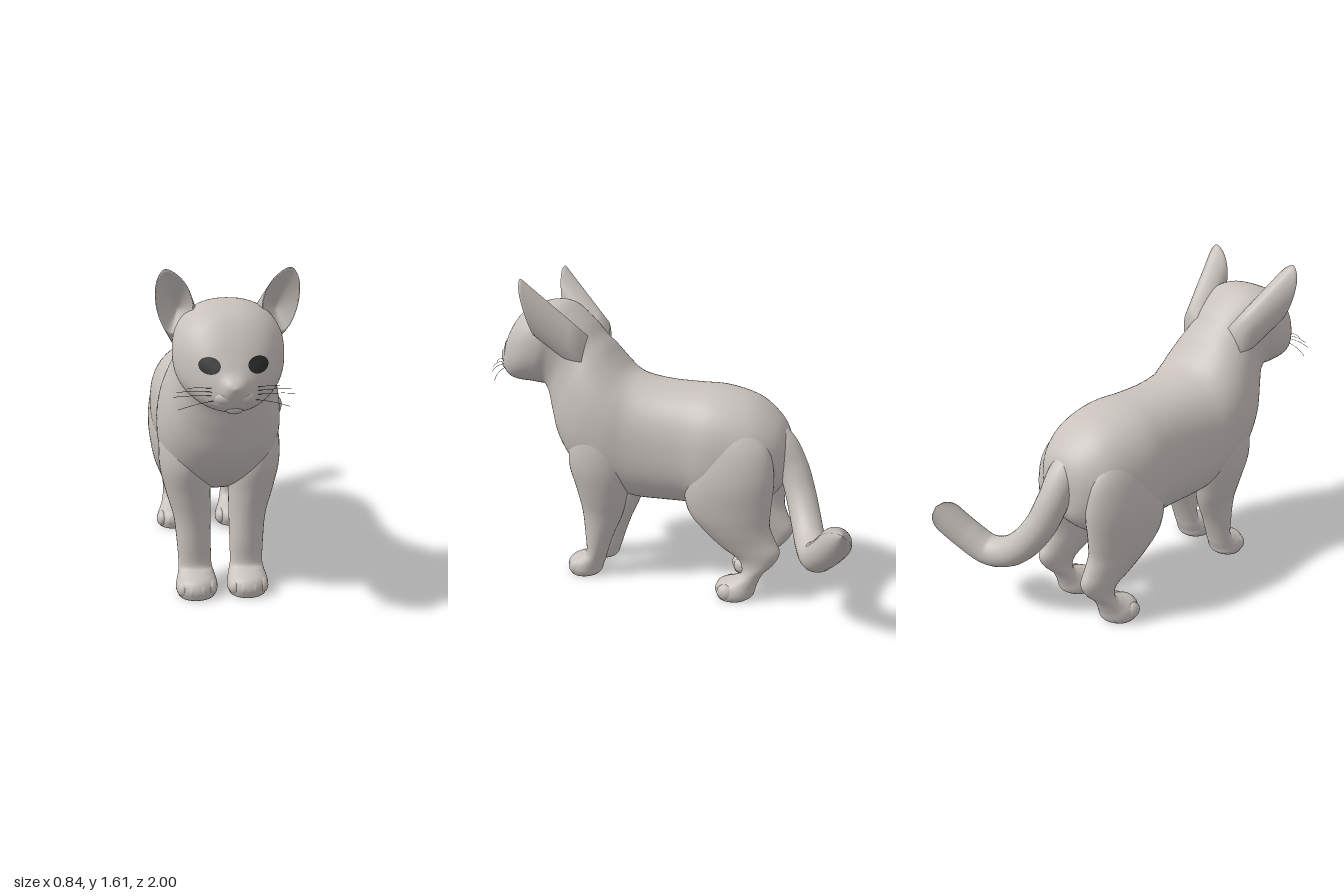
import * as THREE from 'three';

const fur = new THREE.MeshStandardMaterial({ name: 'fur', color: 0xc8c1bc });
const eyeDark = new THREE.MeshStandardMaterial({ name: 'eyeDark', color: 0x2c2c2c });
const whiskerGrey = new THREE.MeshStandardMaterial({ name: 'whiskerGrey', color: 0x3c3a39 });

const V = (x, y, z) => new THREE.Vector3(x, y, z);
const HEAD_X = -0.1, SHOULDER_X = -0.104, HIP_X = -0.122;

function add(parent, name, geometry, material = fur) {
  const mesh = new THREE.Mesh(geometry, material);
  mesh.name = name;
  parent.add(mesh);
  return mesh;
}

// Smooth closed skin over a row of rings, capped at both ends
function skin(rings) {
  const n = rings[0].length, pos = [], index = [];
  rings.forEach(r => r.forEach(p => pos.push(p.x, p.y, p.z)));
  for (let i = 0; i < rings.length - 1; i++) {
    for (let j = 0; j < n; j++) {
      const a = i * n + j, b = i * n + (j + 1) % n;
      index.push(a, a + n, b, b, a + n, b + n);
    }
  }
  [0, rings.length - 1].forEach((row, end) => {
    const c = V(0, 0, 0);
    rings[row].forEach(p => c.addScaledVector(p, 1 / n));
    const ci = pos.length / 3;
    pos.push(c.x, c.y, c.z);
    for (let j = 0; j < n; j++) {
      const a = row * n + j, b = row * n + (j + 1) % n;
      if (end) index.push(ci, b, a); else index.push(ci, a, b);
    }
  });
  const g = new THREE.BufferGeometry();
  g.setAttribute('position', new THREE.Float32BufferAttribute(pos, 3));
  g.setIndex(index);
  g.computeVertexNormals();
  return g;
}

// Oval sections: [z, y of one edge, z, y of the opposite edge, half width, x centre];
// a power below 1 makes the ovals squarer
function loft(stations, sides, power = 1, steps = 5) {
  const spline = f => new THREE.CatmullRomCurve3(stations.map(f), false, 'catmullrom');
  const first = spline(s => V(0, s[1], s[0]));
  const second = spline(s => V(0, s[3], s[2]));
  const width = spline(s => V(s[4], s[5], 0));
  const bend = v => Math.sign(v) * Math.abs(v) ** power;
  const rows = (stations.length - 1) * steps, rings = [];
  for (let i = 0; i <= rows; i++) {
    const t = i / rows, p = first.getPoint(t), q = second.getPoint(t), w = width.getPoint(t);
    const mid = p.clone().add(q).multiplyScalar(0.5), half = p.clone().sub(mid);
    rings.push(Array.from({ length: sides }, (_, j) => {
      const a = j / sides * Math.PI * 2;
      const point = mid.clone().addScaledVector(half, bend(Math.cos(a)));
      point.x = w.y + w.x * bend(Math.sin(a));
      return point;
    }));
  }
  return skin(rings);
}

function ball(parent, name, x, y, z, sx, sy, sz) {
  const mesh = add(parent, name, new THREE.SphereGeometry(1, 20, 14));
  mesh.position.set(x, y, z);
  mesh.scale.set(sx, sy, sz);
}

function makeLeg(parent, name, side, centreX, stations, toeZ) {
  const leg = new THREE.Group();
  leg.name = name;
  parent.add(leg);
  add(leg, name + 'Limb', loft(stations.map(s => [...s.slice(0, 5), centreX + side * s[5]]), 32));
  // Toes
  const pawX = centreX + side * stations[stations.length - 1][5];
  [-0.064, -0.023, 0.023, 0.064].forEach(dx =>
    ball(leg, 'toe', pawX + dx, 0.048, toeZ - Math.abs(dx) * 0.5, 0.034, 0.043, 0.048));
}

function makeEar(parent, name, side) {
  // Teardrop rim, running from the tip down the outer edge and back up
  const rim = new THREE.CatmullRomCurve3([
    V(0.265, 1.615, 0.73), V(0.3, 1.56, 0.72), V(0.297, 1.43, 0.69), V(0.25, 1.335, 0.675),
    V(0.2, 1.345, 0.69), V(0.147, 1.44, 0.70), V(0.165, 1.53, 0.715), V(0.218, 1.597, 0.73),
  ], true).getPoints(40).slice(0, 40);
  // Wide root buried in the side of the head, and the hollow of the cup
  const root = rim.map(p => V(0.125 + (p.x - 0.22) * 0.9, 1.22 + (p.y - 1.46) * 0.8, 0.44));
  const pit = rim.map(() => V(0.21, 1.43, 0.63));
  const toward = (target, t) => rim.map((p, i) => p.clone().lerp(target[i], t));
  const rings = [
    ...[1, 0.8, 0.6, 0.42, 0.27, 0.14, 0.05, 0].map(t => toward(root, t)),
    ...[0.07, 0.14, 0.35, 0.6, 0.85].map(t => toward(pit, t)),
  ].map(ring => {
    const placed = ring.map(p => V(HEAD_X + side * p.x, p.y, p.z));
    return side < 0 ? placed.reverse() : placed;
  });
  add(parent, name, skin(rings));
}

function makeTail(parent) {
  const path = new THREE.CatmullRomCurve3([
    V(-0.12, 0.88, -0.46), V(-0.12, 0.80, -0.56), V(-0.115, 0.70, -0.622), V(-0.08, 0.57, -0.675),
    V(-0.005, 0.45, -0.725), V(0.08, 0.38, -0.765), V(0.18, 0.36, -0.81), V(0.275, 0.43, -0.87),
    V(0.35, 0.52, -0.93), V(0.39, 0.575, -0.965),
  ]);
  const rows = 70, sides = 24, g = new THREE.TubeGeometry(path, rows, 1, sides);
  const pos = g.attributes.position, p = V(0, 0, 0);
  for (let i = 0; i <= rows; i++) {
    // Thick at the root, even along the length, rounded at the tip
    const u = i / rows, c = path.getPointAt(u);
    const tip = Math.sqrt(Math.max(0, 1 - Math.max(0, (u - 0.92) / 0.08) ** 2));
    const r = (0.077 + 0.013 * Math.max(0, 1 - u * 5)) * tip;
    for (let j = 0; j <= sides; j++) {
      const k = i * (sides + 1) + j;
      p.fromBufferAttribute(pos, k).sub(c).multiplyScalar(r).add(c);
      pos.setXYZ(k, p.x, p.y, p.z);
    }
  }
  add(parent, 'tail', g);
}

// Thin oval laid on the face
function makeEye(parent, name, side, face) {
  const g = new THREE.RingGeometry(0, 1, 28, 4), pos = g.attributes.position;
  const ray = new THREE.Raycaster();
  for (let i = 0; i < pos.count; i++) {
    const x = HEAD_X + side * 0.1 + pos.getX(i) * 0.044;
    const y = 1.25 + pos.getY(i) * 0.034;
    ray.set(V(x, y, 2), V(0, 0, -1));
    pos.setXYZ(i, x, y, ray.intersectObject(face)[0].point.z + 0.005);
  }
  g.computeVertexNormals();
  add(parent, name, g, eyeDark);
}

export function createModel() {
  const cat = new THREE.Group();
  cat.name = 'cat';

  // Rump, back, chest, neck and head in one skin
  const body = add(cat, 'body', loft([
    [-0.605, 0.78, -0.59, 0.70, 0.04, -0.12], [-0.58, 0.90, -0.575, 0.60, 0.14, -0.12],
    [-0.50, 0.99, -0.50, 0.51, 0.22, -0.122], [-0.40, 1.05, -0.38, 0.46, 0.262, -0.124],
    [-0.25, 1.083, -0.22, 0.445, 0.285, -0.125], [-0.10, 1.085, -0.10, 0.455, 0.268, -0.125],
    [0.05, 1.09, 0.05, 0.452, 0.263, -0.12], [0.18, 1.11, 0.20, 0.455, 0.272, -0.115],
    [0.25, 1.14, 0.36, 0.50, 0.288, -0.11], [0.31, 1.20, 0.52, 0.60, 0.284, -0.107],
    [0.36, 1.26, 0.62, 0.74, 0.258, -0.105], [0.41, 1.31, 0.66, 0.88, 0.226, -0.103],
    [0.46, 1.37, 0.68, 0.98, 0.208, HEAD_X], [0.53, 1.43, 0.70, 1.03, 0.217, HEAD_X],
    [0.60, 1.47, 0.73, 1.035, 0.236, HEAD_X], [0.68, 1.475, 0.78, 1.04, 0.238, HEAD_X],
    [0.75, 1.455, 0.83, 1.04, 0.222, HEAD_X], [0.82, 1.42, 0.88, 1.042, 0.188, HEAD_X],
    [0.88, 1.35, 0.92, 1.052, 0.144, HEAD_X], [0.92, 1.28, 0.95, 1.07, 0.10, HEAD_X],
    [0.95, 1.225, 0.965, 1.09, 0.067, HEAD_X], [0.985, 1.19, 0.982, 1.125, 0.036, HEAD_X],
    [0.998, 1.17, 0.99, 1.145, 0.012, HEAD_X],
  ], 64, 0.87));

  // Foreleg sections, front edge then rear edge, from shoulder to paw
  const foreleg = [
    [0.44, 1.00, 0.30, 0.98, 0.06, 0.16], [0.51, 0.82, 0.22, 0.80, 0.10, 0.178],
    [0.535, 0.66, 0.195, 0.63, 0.125, 0.163], [0.505, 0.52, 0.23, 0.46, 0.107, 0.15],
    [0.48, 0.38, 0.26, 0.36, 0.09, 0.135], [0.47, 0.25, 0.31, 0.25, 0.083, 0.129],
    [0.465, 0.14, 0.355, 0.13, 0.08, 0.126], [0.50, 0.115, 0.37, 0.08, 0.087, 0.124],
    [0.555, 0.09, 0.385, 0.04, 0.098, 0.124], [0.575, 0.05, 0.39, 0.02, 0.10, 0.124],
    [0.565, 0.005, 0.40, 0.005, 0.088, 0.124],
  ];
  // Hind leg sections: thigh, hock, paw
  const hindLeg = [
    [-0.25, 0.98, -0.42, 0.97, 0.05, 0.15], [-0.16, 0.82, -0.53, 0.84, 0.09, 0.178],
    [-0.105, 0.62, -0.565, 0.69, 0.12, 0.178], [-0.12, 0.47, -0.555, 0.52, 0.11, 0.175],
    [-0.20, 0.37, -0.55, 0.42, 0.095, 0.17], [-0.30, 0.28, -0.575, 0.35, 0.075, 0.165],
    [-0.385, 0.225, -0.605, 0.285, 0.06, 0.165], [-0.41, 0.18, -0.58, 0.22, 0.053, 0.165],
    [-0.405, 0.14, -0.52, 0.15, 0.056, 0.165], [-0.36, 0.115, -0.49, 0.08, 0.07, 0.165],
    [-0.295, 0.09, -0.48, 0.04, 0.088, 0.165], [-0.275, 0.05, -0.47, 0.02, 0.093, 0.165],
    [-0.285, 0.005, -0.45, 0.005, 0.083, 0.165],
  ];

  for (const [side, label] of [[1, 'left'], [-1, 'right']]) {
    makeLeg(cat, label + 'Foreleg', side, SHOULDER_X, foreleg, 0.538);
    makeLeg(cat, label + 'HindLeg', side, HIP_X, hindLeg, -0.312);
    makeEar(cat, label + 'Ear', side);
    makeEye(cat, label + 'Eye', side, body);
    ball(cat, label + 'MuzzlePad', HEAD_X + side * 0.034, 1.122, 0.932, 0.052, 0.038, 0.044);
    // Whiskers
    [[1.165, 0.19, 1.16], [1.15, 0.235, 1.145], [1.135, 0.25, 1.125], [1.12, 0.23, 1.07]].forEach(([y0, x1, y1]) => {
      const curve = new THREE.QuadraticBezierCurve3(
        V(HEAD_X + side * 0.06, y0 - 0.01, 0.935),
        V(HEAD_X + side * 0.15, (y0 + y1) / 2 + 0.012, 0.955),
        V(HEAD_X + side * x1, y1, 0.925));
      add(cat, label + 'Whisker', new THREE.TubeGeometry(curve, 10, 0.001, 5), whiskerGrey);
    });
  }

  // Nose and chin
  ball(cat, 'nose', HEAD_X, 1.168, 0.972, 0.027, 0.02, 0.026);
  ball(cat, 'chin', HEAD_X, 1.075, 0.922, 0.044, 0.03, 0.036);

  makeTail(cat);
  return cat;
}
